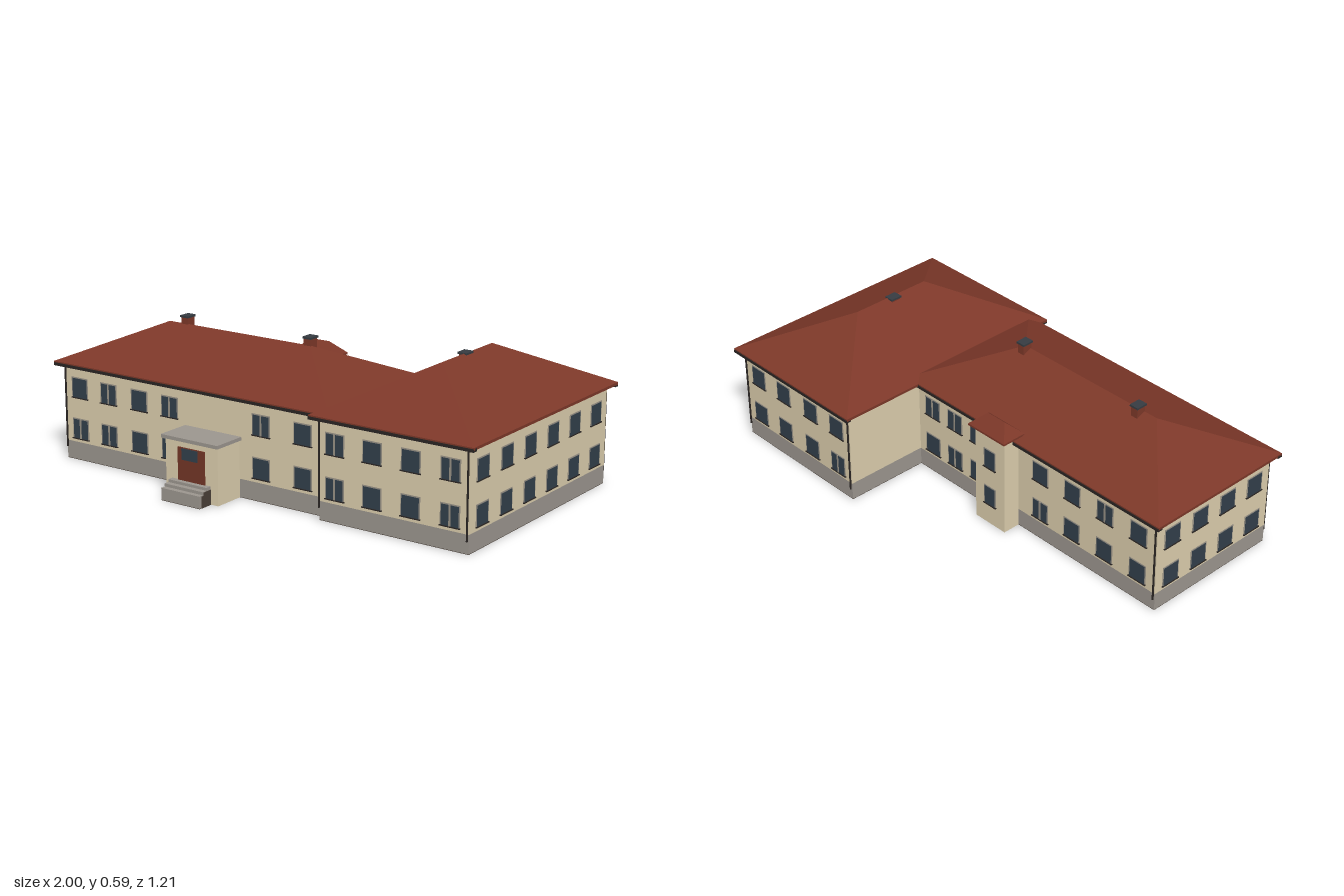
import * as THREE from 'three';

const mat = (name, color) => {
  const m = new THREE.MeshStandardMaterial({ color });
  m.name = name;
  return m;
};

export function createModel() {
  const M = {
    wall: mat('beige plaster', 0xdccead),
    stone: mat('grey stone', 0x9c968f),
    roof: mat('red roof tile', 0x7d3829),
    glass: mat('dark blue glass', 0x323f4b),
    door: mat('brown door', 0x733626),
    metal: mat('dark metal', 0x2a2523),
    frame: mat('window frame', 0x999286),
    cap: mat('slate cap', 0x363c42),
    earth: mat('dark brown base', 0x4a4038),
  };
  const root = new THREE.Group();
  root.name = 'building';

  const add = (parent, name, geo, material) => {
    const m = new THREE.Mesh(geo, material);
    m.name = name;
    parent.add(m);
    return m;
  };
  // Box given by its lower and upper limits
  const box = (name, material, x0, x1, y0, y1, z0, z1, parent = root) => {
    const m = add(parent, name, new THREE.BoxGeometry(x1 - x0, y1 - y0, z1 - z0), material);
    m.position.set((x0 + x1) / 2, (y0 + y1) / 2, (z0 + z1) / 2);
    return m;
  };

  // Hipped roof with a short vertical eave; the ridge runs from p to q
  const hipRoof = (name, x0, x1, z0, z1, yLow, yEave, p, q, alongX) => {
    const ring = (y) => [[x0, y, z0], [x1, y, z0], [x1, y, z1], [x0, y, z1]];
    const [a, b, c, d] = ring(yEave);
    const [e, f, g, h] = ring(yLow);
    const slopes = alongX
      ? [[d, c, q, p], [c, b, q], [b, a, p, q], [a, d, p]]
      : [[a, d, q, p], [d, c, q], [c, b, p, q], [b, a, p]];
    const faces = [...slopes, [h, g, c, d], [g, f, b, c], [f, e, a, b], [e, h, d, a], [e, f, g, h]];
    const pos = [];
    for (const s of faces) {
      for (let i = 1; i < s.length - 1; i++) pos.push(...s[0], ...s[i], ...s[i + 1]);
    }
    const geo = new THREE.BufferGeometry();
    geo.setAttribute('position', new THREE.Float32BufferAttribute(pos, 3));
    geo.computeVertexNormals();
    return add(root, name, geo, M.roof);
  };

  // Window facing +z before turning, with frame, glass, optional mullion and sill
  const addWindow = (x, y, z, turn, double = false, w = 0.08) => {
    const g = new THREE.Group();
    g.name = 'window';
    const h = 0.082, r = w / 2, t = h / 2;
    box('windowFrame', M.frame, -r - 0.002, r + 0.002, -t, t + 0.003, -0.002, 0.002, g);
    box('windowGlass', M.glass, -r + 0.003, r - 0.003, -t, t - 0.002, -0.002, 0.0035, g);
    if (double) box('windowMullion', M.frame, -0.004, 0.004, -t, t, -0.002, 0.005, g);
    box('windowSill', M.metal, -r - 0.004, r + 0.004, -t - 0.003, -t + 0.001, -0.002, 0.006, g);
    g.position.set(x, y, z);
    g.rotation.y = turn;
    root.add(g);
  };
  const rows = [0.132, 0.304];

  // Main block and side wing on dark bases
  box('mainBase', M.earth, -0.97, 0.32, 0, 0.002, -0.21, 0.4);
  box('mainPlinth', M.stone, -0.97, 0.34, 0.002, 0.075, -0.21, 0.4);
  box('mainWalls', M.wall, -0.97, 0.34, 0.075, 0.402, -0.21, 0.4);
  box('wingBase', M.earth, 0.32, 0.97, 0, 0.002, -0.57, 0.438);
  box('wingPlinth', M.stone, 0.32, 0.97, 0.002, 0.075, -0.57, 0.438);
  box('wingWalls', M.wall, 0.32, 0.97, 0.075, 0.402, -0.57, 0.438);

  // Roofs
  hipRoof('mainRoof', -1, 0.36, -0.24, 0.432, 0.398, 0.409, [-0.665, 0.557, 0.1], [0.035, 0.557, 0.1], true);
  hipRoof('wingRoof', 0.29, 1, -0.603, 0.467, 0.398, 0.409, [0.643, 0.587, -0.243], [0.643, 0.587, 0.108], false);

  // Gutters along front and back eaves
  const gutters = [[-1, 0.32, 0.412], [-1, 0.32, -0.242], [0.29, 1, 0.447], [0.29, 1, -0.605]];
  for (const [x0, x1, z] of gutters) {
    box('gutter', M.metal, x0, x1, 0.392, 0.404, z, z + 0.022);
  }

  // Downpipes at the corners
  const pipes = [[-0.965, 0.405], [-0.965, -0.215], [0.322, 0.444], [0.965, 0.444], [0.965, -0.575], [0.325, -0.575]];
  for (const [x, z] of pipes) {
    const pipe = add(root, 'downpipe', new THREE.CylinderGeometry(0.0038, 0.0038, 0.35, 8), M.metal);
    pipe.position.set(x, 0.225, z);
  }

  // Chimneys
  for (const [x, y0, z] of [[-0.585, 0.52, 0.083], [0.023, 0.52, 0.083], [0.635, 0.55, -0.063]]) {
    box('chimney', M.roof, x - 0.016, x + 0.016, y0, 0.582, z - 0.021, z + 0.021);
    box('chimneyCap', M.cap, x - 0.02, x + 0.02, 0.582, 0.59, z - 0.025, z + 0.025);
  }

  // Rear stair tower
  box('stairTower', M.wall, -0.25, -0.09, 0, 0.425, -0.285, -0.21);
  hipRoof('stairTowerRoof', -0.267, -0.07, -0.303, -0.195, 0.422, 0.43,
    [-0.215, 0.48, -0.249], [-0.122, 0.48, -0.249], true);

  // Entrance porch with door
  box('porch', M.wall, -0.335, -0.082, 0, 0.23, 0.4, 0.535);
  box('porchRoof', M.stone, -0.348, -0.073, 0.23, 0.244, 0.38, 0.548);
  box('door', M.door, -0.273, -0.143, 0.073, 0.205, 0.53, 0.54);
  box('doorGlass', M.glass, -0.252, -0.175, 0.157, 0.202, 0.535, 0.543);

  // Entrance steps with dark cheeks and underside
  const steps = [[0.002, 0.05, 0.603], [0.05, 0.062, 0.582], [0.062, 0.073, 0.56]];
  for (const [y0, y1, z1] of steps) box('step', M.stone, -0.305, -0.118, y0, y1, 0.535, z1);
  box('stepBase', M.earth, -0.305, -0.118, 0, 0.002, 0.535, 0.603);
  for (const x of [-0.307, -0.118]) {
    box('stepCheek', M.earth, x, x + 0.002, 0, 0.047, 0.535, 0.59);
    box('stepCheek', M.earth, x, x + 0.002, 0.047, 0.06, 0.535, 0.578);
  }

  // Front windows: x, wall z, then whether lower and upper are double
  const front = [
    [-0.893, 0.4, 1, 0], [-0.74, 0.4, 1, 1], [-0.58, 0.4, 0, 0], [-0.425, 0.4, 0, 1],
    [0.022, 0.4, 0, 1], [0.217, 0.4, 0, 0],
    [0.39, 0.438, 1, 1], [0.555, 0.438, 0, 0], [0.722, 0.438, 0, 0], [0.89, 0.438, 1, 1],
  ];
  // Back windows
  const back = [
    [-0.88, -0.21, 0, 0], [-0.71, -0.21, 0, 1], [-0.54, -0.21, 0, 0], [-0.37, -0.21, 1, 0],
    [-0.02, -0.21, 0, 0], [0.11, -0.21, 1, 1], [0.24, -0.21, 0, 1],
    [0.4, -0.57, 1, 0], [0.56, -0.57, 0, 0], [0.73, -0.57, 0, 0], [0.89, -0.57, 0, 0],
  ];
  rows.forEach((y, i) => {
    for (const w of front) addWindow(w[0], y, w[1], 0, w[2 + i] === 1);
    for (const w of back) addWindow(w[0], y, w[1], Math.PI, w[2 + i] === 1);
    // Tower, right side and left side windows
    addWindow(-0.17, y, -0.285, Math.PI, false, 0.06);
    for (let k = 0; k < 6; k++) addWindow(0.97, y, 0.352 - k * 0.1675, Math.PI / 2);
    for (let k = 0; k < 4; k++) addWindow(-0.97, y, 0.32 - k * 0.15, -Math.PI / 2);
  });

  return root;
}
